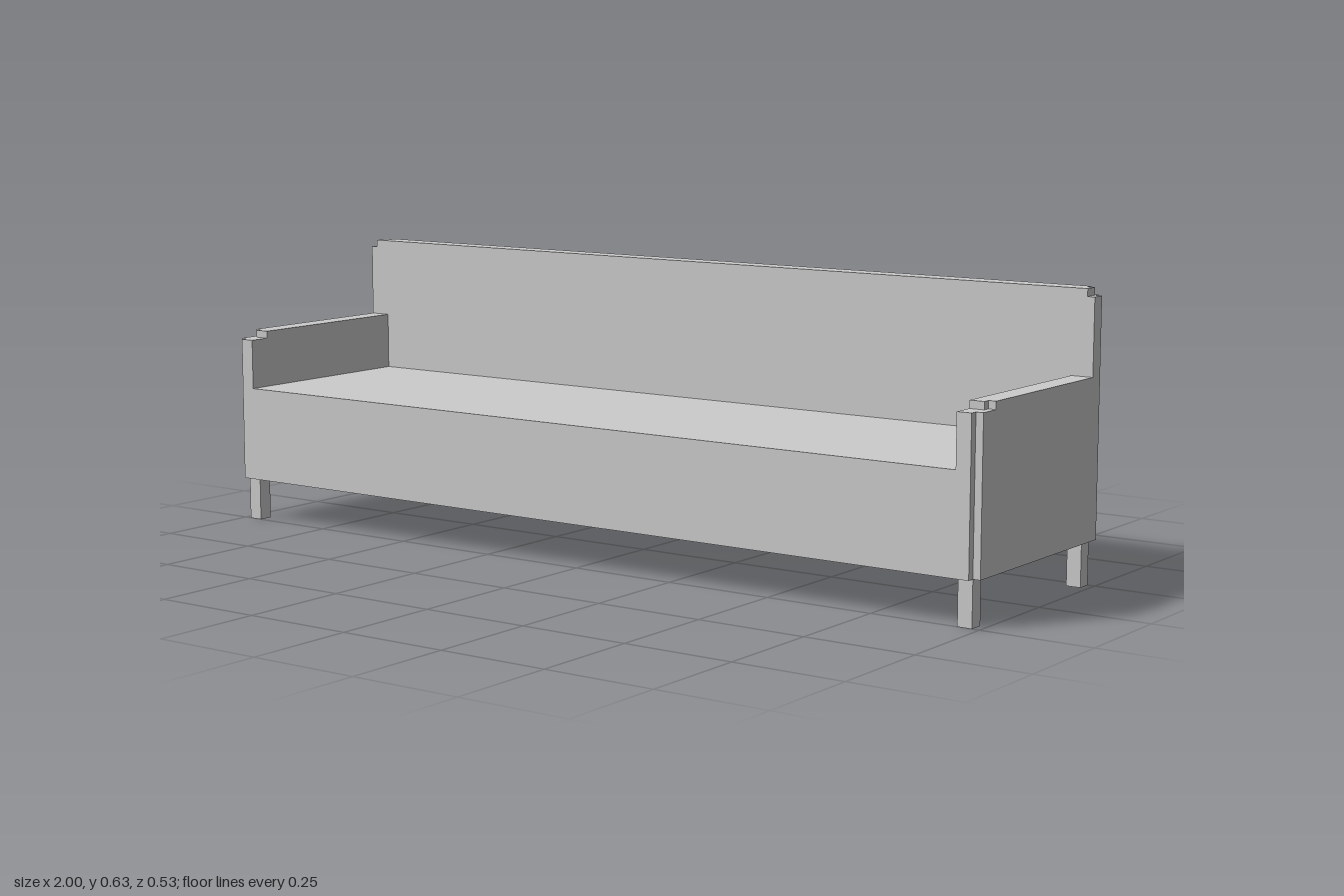
import * as THREE from 'three';

const T = 0.0167;                 // joint step
const BASE = 0.1, SEAT = 0.318, ARM = 0.45, BACK = 0.635;
const material = new THREE.MeshStandardMaterial({ color: 0xcccccc, flatShading: true });

function add(parent, name, geometry, x = 0, y = 0, z = 0) {
  const mesh = new THREE.Mesh(geometry, material);
  mesh.name = name;
  mesh.position.set(x, y, z);
  parent.add(mesh);
}

// Flat panel cut from a list of outline points
function panel(points, depth) {
  const shape = new THREE.Shape(points.map(([a, b]) => new THREE.Vector2(a, b)));
  return new THREE.ExtrudeGeometry(shape, { depth, bevelEnabled: false });
}

// Back board with both top corners notched
function backPanel(halfWidth, depth) {
  const w = halfWidth, n = w - T, low = BACK - T;
  return panel([[-w, BASE], [w, BASE], [w, low], [n, low], [n, BACK], [-n, BACK], [-n, low], [-w, low]], depth);
}

// Arm board, running in z, stepped down at its front end
function armPanel(front, step, depth) {
  const z0 = -0.217, low = ARM - T;
  return panel([[z0, BASE], [front, BASE], [front, low], [step, low], [step, ARM], [z0, ARM]], depth)
    .rotateY(-Math.PI / 2);
}

export function createModel() {
  const sofa = new THREE.Group();
  sofa.name = 'sofa';

  // Seat block
  const seatH = SEAT - BASE;
  add(sofa, 'seat', new THREE.BoxGeometry(1.9, seatH, 0.484), 0, BASE + seatH / 2, 0.025);

  // Backrest in two layers
  add(sofa, 'backrestInner', backPanel(1, 0.033), 0, 0, -0.25);
  add(sofa, 'backrestOuter', backPanel(1 - T, 0.017), 0, 0, -0.267);

  for (const side of [1, -1]) {
    const label = side > 0 ? 'left' : 'right';

    // Armrest in two layers
    add(sofa, label + 'ArmInner', armPanel(0.267, 0.217, 0.0333), side > 0 ? 1 - T : -0.95);
    add(sofa, label + 'ArmOuter', armPanel(0.25, 0.2, T), side > 0 ? 1 : T - 1);

    // Legs
    for (const end of [1, -1]) {
      add(sofa, label + (end > 0 ? 'FrontLeg' : 'BackLeg'),
        new THREE.BoxGeometry(0.0333, BASE, 0.0333), side * 0.9667, BASE / 2, end * 0.2335);
    }
  }
  return sofa;
}
